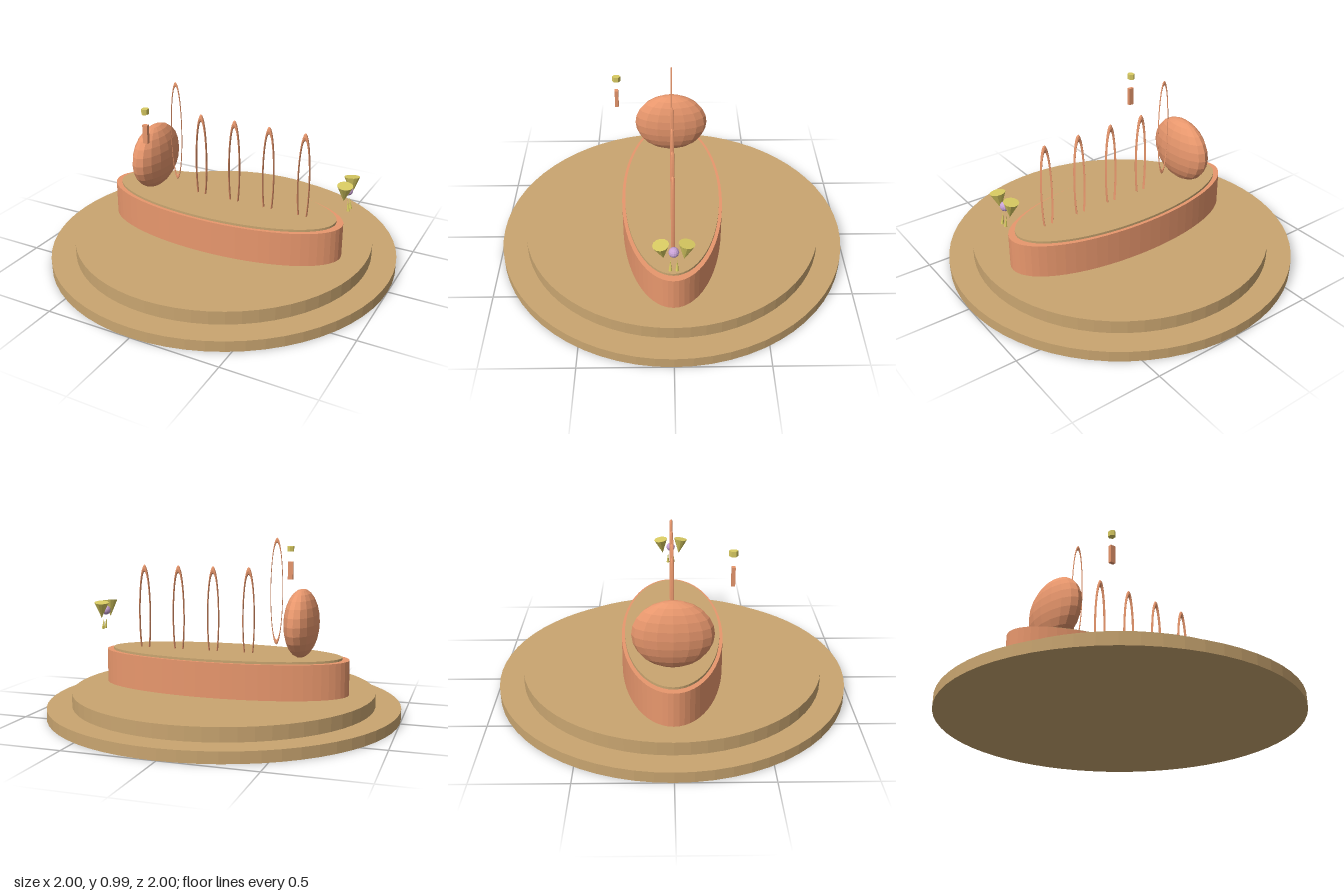
import * as THREE from 'three';

const mat = (color) => new THREE.MeshStandardMaterial({ color, flatShading: true });
const TAN = mat(0xc9a570), CORAL = mat(0xe8976d), YELLOW = mat(0xd9cb62), LILAC = mat(0xc9a3d6);

export function createModel() {
  const model = new THREE.Group();

  const add = (name, geometry, material, x, y, z, parent = model) => {
    const mesh = new THREE.Mesh(geometry, material);
    mesh.name = name;
    mesh.position.set(x, y, z);
    parent.add(mesh);
    return mesh;
  };

  // Elliptical slab between two heights
  const slab = (name, material, rx, rz, y0, y1) => {
    const g = new THREE.CylinderGeometry(1, 1, y1 - y0, 64).scale(rx, 1, rz);
    return add(name, g, material, 0, (y0 + y1) / 2, 0);
  };

  // Stepped base, hull and deck
  slab('lowerBase', TAN, 1, 1, 0, 0.06);
  slab('upperBase', TAN, 0.86, 0.86, 0.06, 0.135);
  slab('hull', CORAL, 0.72, 0.288, 0.135, 0.33);
  slab('deck', TAN, 0.68, 0.27, 0.33, 0.343);

  // Faceted ellipsoid at one end
  add('dome', new THREE.SphereGeometry(1, 16, 12).scale(0.091, 0.19, 0.217), CORAL, -0.452, 0.525, 0);

  // Narrow upright hoops: four sunk into the deck, one thinner and raised
  const hoop = (name, x, y, tube, depth) => {
    const g = new THREE.TorusGeometry(1, tube, 8, 48);
    g.scale(0.036 / (1 + tube), 0.297 / (1 + tube), depth / tube);
    add(name, g, CORAL, x, y, 0);
  };
  for (let i = 0; i < 4; i++) hoop('archHoop', -0.146 + i * 0.211, 0.53, 0.08, 0.01);
  hoop('raisedHoop', -0.308, 0.695, 0.05, 0.004);

  // Small floating block with a faceted bead above it
  add('floatingBlock', new THREE.BoxGeometry(0.03, 0.105, 0.02), CORAL, -0.31, 0.788, 0.315);
  add('floatingBead', new THREE.CylinderGeometry(1, 1, 0.03, 6).scale(0.02, 1, 0.024), YELLOW, -0.31, 0.916, 0.313);

  // Hovering winged figure
  const figure = new THREE.Group();
  figure.name = 'wingedFigure';
  figure.position.set(0.74, 0.55, 0);
  model.add(figure);
  add('body', new THREE.SphereGeometry(0.027, 12, 8), LILAC, 0, 0, 0, figure);
  for (const s of [-1, 1]) {
    const wing = add('wing', new THREE.ConeGeometry(0.042, 0.095, 12), YELLOW, 0, 0.006, s * 0.058, figure);
    wing.rotation.set(Math.PI + s * 0.14, 0, s * 0.08);
    const tail = add('tail', new THREE.ConeGeometry(0.009, 0.065, 8), YELLOW, 0.01, -0.078, s * 0.017, figure);
    tail.rotation.z = 0.12;
  }

  return model;
}
